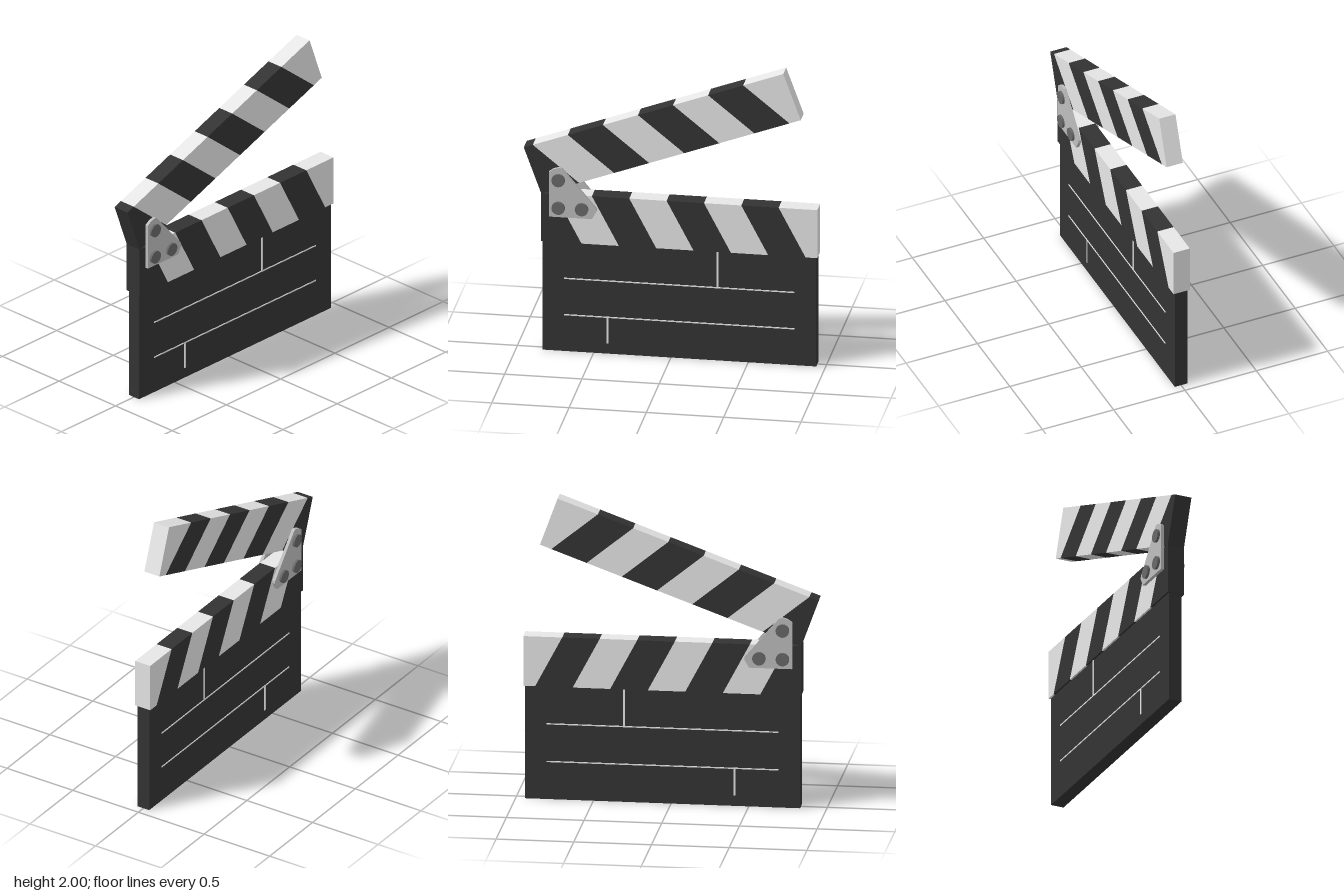
import * as THREE from 'three';

const material = (name, color) => {
  const m = new THREE.MeshStandardMaterial({ color });
  m.name = name;
  return m;
};

// Flat outline extruded along z, centred on the given z
function slab(name, points, depth, mat, z = 0) {
  const shape = new THREE.Shape(points.map(([x, y]) => new THREE.Vector2(x, y)));
  const geo = new THREE.ExtrudeGeometry(shape, { depth, bevelEnabled: false });
  geo.translate(0, 0, z - depth / 2);
  const mesh = new THREE.Mesh(geo, mat);
  mesh.name = name;
  return mesh;
}

function box(name, x0, x1, y0, y1, depth, mat, z = 0) {
  const mesh = new THREE.Mesh(new THREE.BoxGeometry(x1 - x0, y1 - y0, depth), mat);
  mesh.position.set((x0 + x1) / 2, (y0 + y1) / 2, z);
  mesh.name = name;
  return mesh;
}

// Bar of slanted blocks in alternating colours, starting at its lower left corner
function stripedBar(name, topStart, bottomStart, dark, light) {
  const bar = new THREE.Group();
  bar.name = name;
  const length = 1.787, height = 0.33, step = 0.2415, count = 8;
  const cut = (start, i) => (i === 0 ? 0 : i === count ? length : start + (i - 1) * step);
  for (let i = 0; i < count; i++) {
    bar.add(slab(i % 2 ? 'lightStripe' : 'darkStripe', [
      [cut(bottomStart, i), 0], [cut(bottomStart, i + 1), 0],
      [cut(topStart, i + 1), height], [cut(topStart, i), height],
    ], 0.114, i % 2 ? light : dark));
  }
  return bar;
}

export function createModel() {
  const dark = material('charcoal', 0x333333);
  const light = material('offWhite', 0xe6e6e6);
  const metal = material('hingeGrey', 0xbdbdbd);
  const rivetGrey = material('rivetGrey', 0x686868);

  const model = new THREE.Group();
  model.name = 'clapperboard';

  // Slate board
  model.add(box('board', -0.83, 0.94, 0, 0.752, 0.088, dark));

  // Striped bars, the upper one swung open
  const lower = stripedBar('lowerBar', 0.088, 0.262, dark, light);
  lower.position.set(-0.838, 0.75, 0);
  const upper = stripedBar('upperBar', 0.062, 0.26, dark, light);
  upper.position.set(-0.836, 1.077, 0);
  upper.rotation.z = THREE.MathUtils.degToRad(20.1);
  model.add(lower, upper);

  const plate = [
    [-0.783, 0.931], [-0.505, 0.931], [-0.475, 0.985], [-0.478, 1.003],
    [-0.7, 1.264], [-0.715, 1.27], [-0.755, 1.258], [-0.783, 1.238],
  ];
  const rivets = [[-0.722, 1.185], [-0.722, 0.995], [-0.571, 0.995]];

  for (const side of [1, -1]) {
    // Writing lines on both faces
    const z = side * 0.045;
    for (const y of [0.25, 0.5]) {
      model.add(box('rowLine', -0.69, 0.8, y - 0.004, y + 0.004, 0.005, light, z));
    }
    model.add(box('upperDivider', 0.295, 0.308, 0.5, 0.75, 0.005, light, z));
    model.add(box('lowerDivider', -0.415, -0.402, 0.07, 0.25, 0.005, light, z));

    // Hinge plate with rivets
    model.add(slab('hingePlate', plate, 0.022, metal, side * 0.067));
    for (const [x, y] of rivets) {
      const rivet = new THREE.Mesh(new THREE.CylinderGeometry(0.043, 0.043, 0.03, 24), rivetGrey);
      rivet.rotation.x = Math.PI / 2;
      rivet.position.set(x, y, side * 0.079);
      rivet.name = 'rivet';
      model.add(rivet);
    }
  }
  return model;
}
